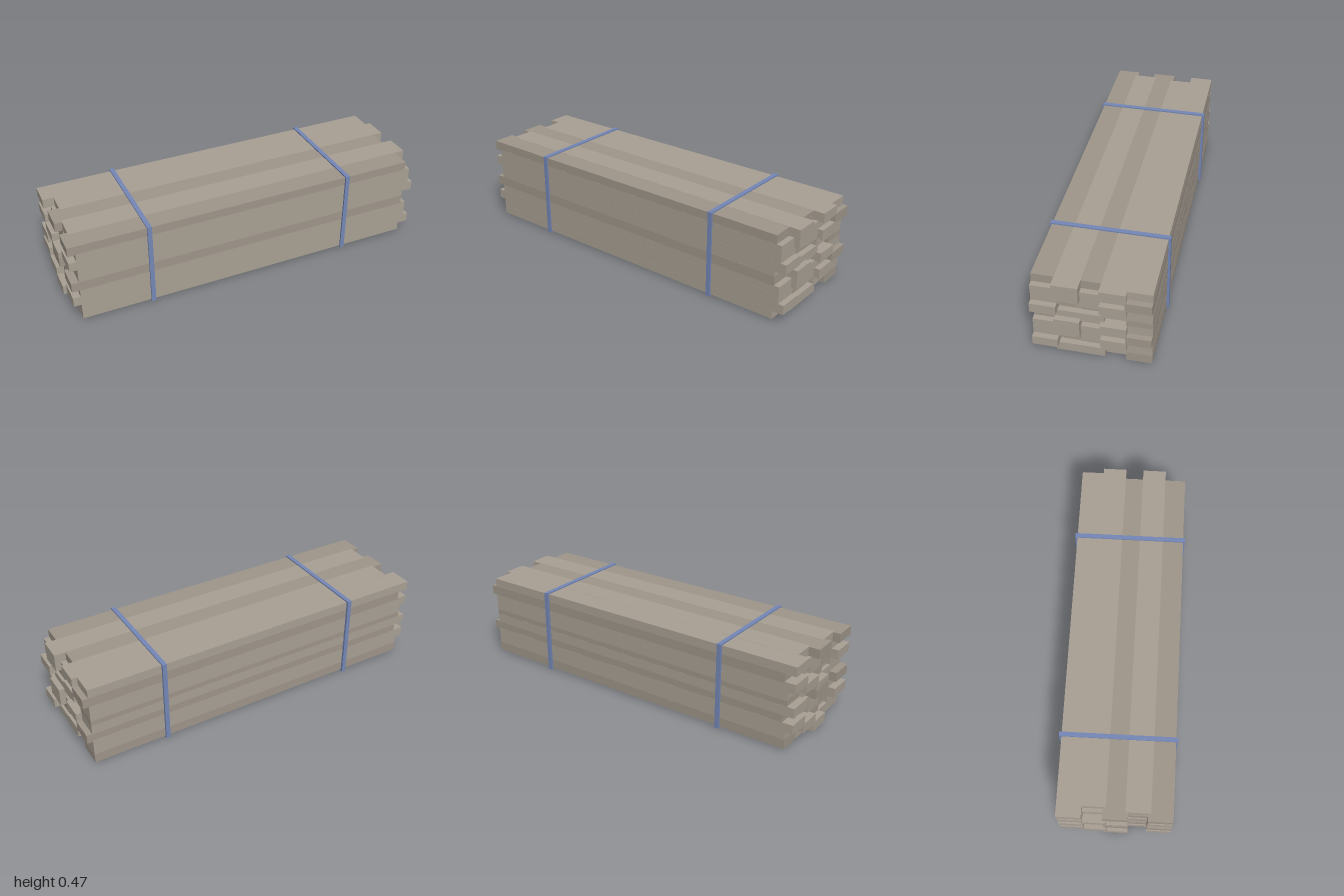
import * as THREE from 'three';

export function createModel() {
  const group = new THREE.Group();
  const light = new THREE.MeshStandardMaterial({ color: 0xa9a094 });
  const dark = new THREE.MeshStandardMaterial({ color: 0x9f968a });
  const blue = new THREE.MeshStandardMaterial({ color: 0x7487b6 });

  // Columns run from front to back, rows from bottom to top
  const columnZ = [0.2325, 0.1195, 0.0045, -0.1075, -0.2295];
  const rowY = [0.035, 0.079, 0.127, 0.171, 0.219];
  const rightEnds = [
    [0.94, 0.97, 0.97, 0.94, 0.97],
    [1.0, 0.94, 0.94, 0.97, 0.97],
    [0.97, 0.97, 0.97, 1.0, 0.97],
    [0.97, 1.0, 0.97, 0.97, 1.0],
    [0.94, 1.0, 0.94, 1.0, 0.97],
  ];
  const leftEnds = [
    [0.96, 0.96, 1.0, 0.96, 0.96],
    [0.96, 0.94, 0.96, 1.0, 0.96],
    [1.0, 0.96, 0.96, 0.94, 1.0],
    [0.96, 0.94, 0.96, 0.96, 0.94],
    [1.0, 0.96, 1.0, 0.94, 1.0],
  ];
  const darkBoards = ['4,0', '4,2', '3,4', '2,1', '1,2', '0,4'];

  // Two identical packs of overlapping boards
  for (let pack = 0; pack < 2; pack++) {
    const stack = new THREE.Group();
    stack.name = pack ? 'upperBoards' : 'lowerBoards';
    stack.position.y = pack * 0.221;
    rowY.forEach((y, r) => columnZ.forEach((z, c) => {
      const x0 = -leftEnds[r][c], x1 = rightEnds[r][c];
      // Alternate boards are a hair thinner so faces never coincide
      const trim = (r + c + pack) % 2 ? 0.001 : 0;
      const board = new THREE.Mesh(
        new THREE.BoxGeometry(x1 - x0, 0.052 - trim, 0.129 - trim),
        darkBoards.includes(`${r},${c}`) ? dark : light
      );
      board.name = 'board';
      board.position.set((x0 + x1) / 2, y, z);
      stack.add(board);
    }));
    group.add(stack);
  }

  // Rectangular binding straps around the stack
  const rectangle = (Path, z0, z1, y0, y1) => new Path([
    new THREE.Vector2(z0, y0), new THREE.Vector2(z1, y0),
    new THREE.Vector2(z1, y1), new THREE.Vector2(z0, y1),
  ]);
  const outline = rectangle(THREE.Shape, -0.306, 0.306, 0, 0.473);
  outline.holes.push(rectangle(THREE.Path, -0.293, 0.296, 0.01, 0.465));
  const strapGeometry = new THREE.ExtrudeGeometry(outline, { depth: 0.024, bevelEnabled: false });
  strapGeometry.translate(0, 0, -0.012).rotateY(-Math.PI / 2).scale(1, 1, 1);
  for (const x of [-0.578, 0.562]) {
    const strap = new THREE.Mesh(strapGeometry, blue);
    strap.name = 'strap';
    strap.position.x = x;
    group.add(strap);
  }
  return group;
}
